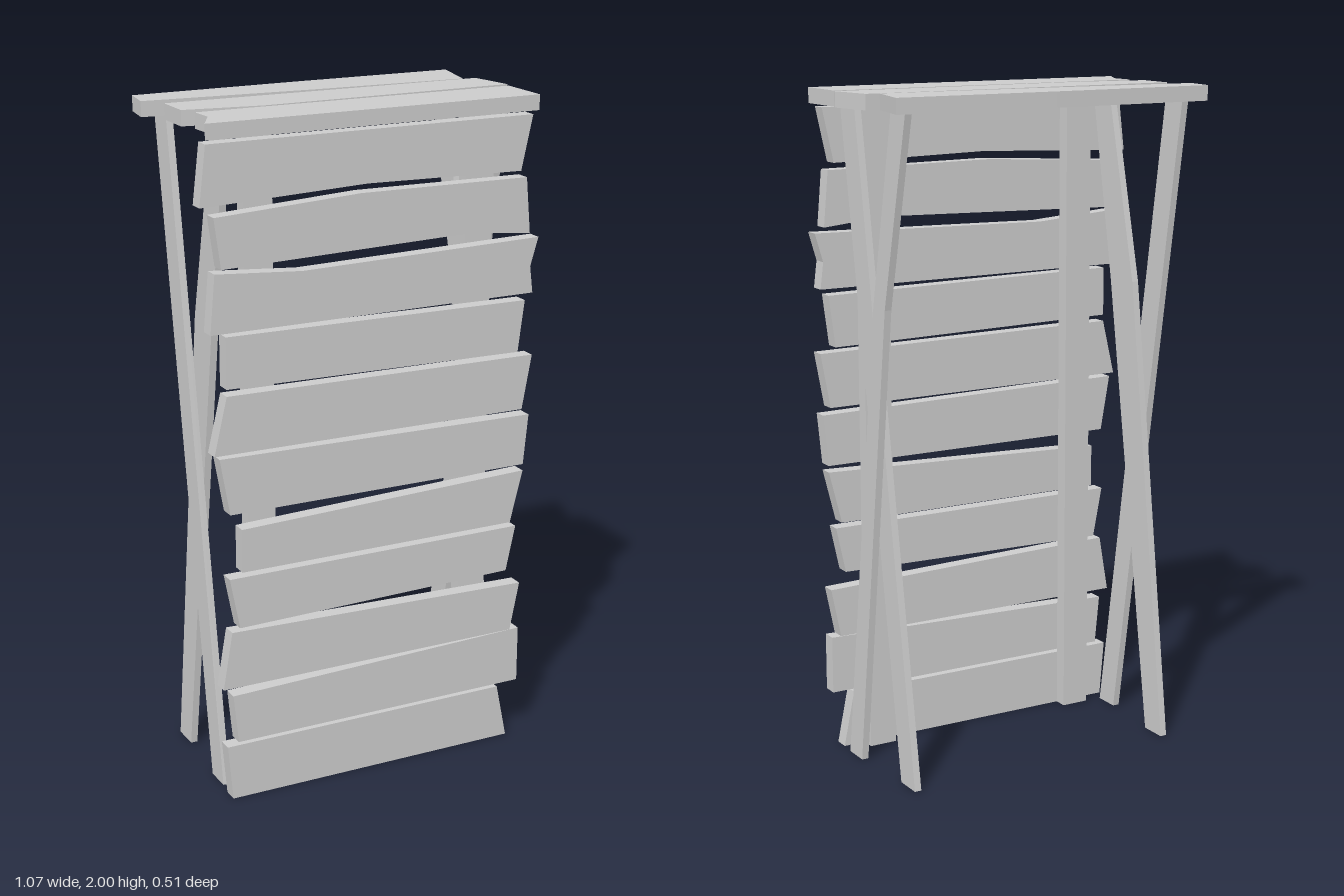
import * as THREE from 'three';

const material = new THREE.MeshStandardMaterial({ color: 0xcccccc, flatShading: true });

// Solid slab from a 2D outline
function slab(points, depth) {
  const shape = new THREE.Shape(points.map(([a, b]) => new THREE.Vector2(a, b)));
  return new THREE.ExtrudeGeometry(shape, { depth, bevelEnabled: false });
}

function add(parent, name, geometry) {
  const mesh = new THREE.Mesh(geometry, material);
  mesh.name = name;
  parent.add(mesh);
  return mesh;
}

// Front boards, bottom to top: outlines in x, y
const FRONT_BOARDS = [
  [[-0.48, 0.17], [0.43, 0.17], [0.465, 0], [-0.465, 0]],
  [[-0.46, 0.33], [0.5, 0.355], [0.5, 0.18], [-0.445, 0.18]],
  [[-0.46, 0.53], [0.5, 0.505], [0.47, 0.355], [-0.49, 0.355]],
  [[-0.465, 0.695], [0.48, 0.695], [0.45, 0.555], [-0.435, 0.54]],
  [[-0.425, 0.84], [0.5, 0.87], [0.46, 0.71], [-0.425, 0.71]],
  [[-0.49, 1.06], [0.515, 1.045], [0.5, 0.89], [-0.46, 0.89]],
  [[-0.465, 1.24], [0.52, 1.23], [0.49, 1.065], [-0.505, 1.07]],
  [[-0.465, 1.41], [0.49, 1.4], [0.47, 1.245], [-0.465, 1.26]],
  [[-0.495, 1.59], [-0.23, 1.57], [0.53, 1.585], [0.505, 1.5], [0.515, 1.42], [-0.51, 1.42]],
  [[-0.495, 1.745], [-0.05, 1.77], [0.485, 1.765], [0.5, 1.6], [0.3, 1.62], [-0.475, 1.6]],
  [[-0.515, 1.945], [0.5, 1.945], [0.465, 1.785], [-0.03, 1.795], [-0.535, 1.775]],
];

// Counter boards, front to back: outlines in x, z
const TOP_BOARDS = [
  [[-0.47, 0.085], [0.52, 0.085], [0.52, 0.255], [-0.515, 0.255], [-0.465, 0.16]],
  [[-0.49, -0.085], [0.505, -0.08], [0.53, 0.06], [-0.255, 0.07], [-0.49, 0.035]],
  [[-0.52, -0.25], [0, -0.26], [0.505, -0.26], [0.465, -0.087], [0, -0.108], [-0.535, -0.147]],
];

// Crossed legs: outlines in z, y; a bent leg has a kink in its upper part
const TOP = 1.955;
const backTopStraight = [[0.165, 0], [0.085, 0], [-0.24, TOP], [-0.155, TOP]];
const backTopBent = [[0.165, 0], [0.085, 0], [-0.105, 1.4], [-0.24, TOP], [-0.155, TOP], [-0.035, 1.4]];
const frontTopStraight = [[-0.13, 0], [-0.215, 0], [0.11, TOP], [0.2, TOP]];
const frontTopBent = [[-0.13, 0], [-0.215, 0], [-0.025, 1.4], [0.11, TOP], [0.2, TOP], [0.095, 1.4]];
const LEG = 0.021;

function addLeg(parent, name, outline, xMax) {
  const geometry = slab(outline, LEG);
  geometry.rotateY(-Math.PI / 2);
  add(parent, name, geometry).position.x = xMax;
}

export function createModel() {
  const model = new THREE.Group();
  model.name = 'plankStand';

  const front = new THREE.Group();
  front.name = 'frontPanel';
  FRONT_BOARDS.forEach((outline, i) => {
    add(front, `frontBoard${i + 1}`, slab(outline, 0.045)).position.z = 0.21;
  });

  // Upright battens behind the boards
  for (const [name, x] of [['rightPost', -0.343], ['leftPost', 0.353]]) {
    add(front, name, new THREE.BoxGeometry(0.086, TOP, 0.042)).position.set(x, TOP / 2, 0.189);
  }

  const counter = new THREE.Group();
  counter.name = 'counterTop';
  TOP_BOARDS.forEach((outline, i) => {
    const geometry = slab(outline.map(([x, z]) => [x, -z]), 0.045);
    geometry.rotateX(-Math.PI / 2);
    add(counter, `counterBoard${i + 1}`, geometry).position.y = TOP;
  });

  // One crossed pair per side, the two legs lying against each other
  const legs = new THREE.Group();
  legs.name = 'crossedLegs';
  addLeg(legs, 'leftBackTopLeg', backTopBent, 0.468);
  addLeg(legs, 'leftFrontTopLeg', frontTopStraight, 0.468 - LEG);
  addLeg(legs, 'rightBackTopLeg', backTopStraight, -0.458 + LEG);
  addLeg(legs, 'rightFrontTopLeg', frontTopBent, -0.458 + 2 * LEG);

  model.add(front, counter, legs);
  return model;
}
